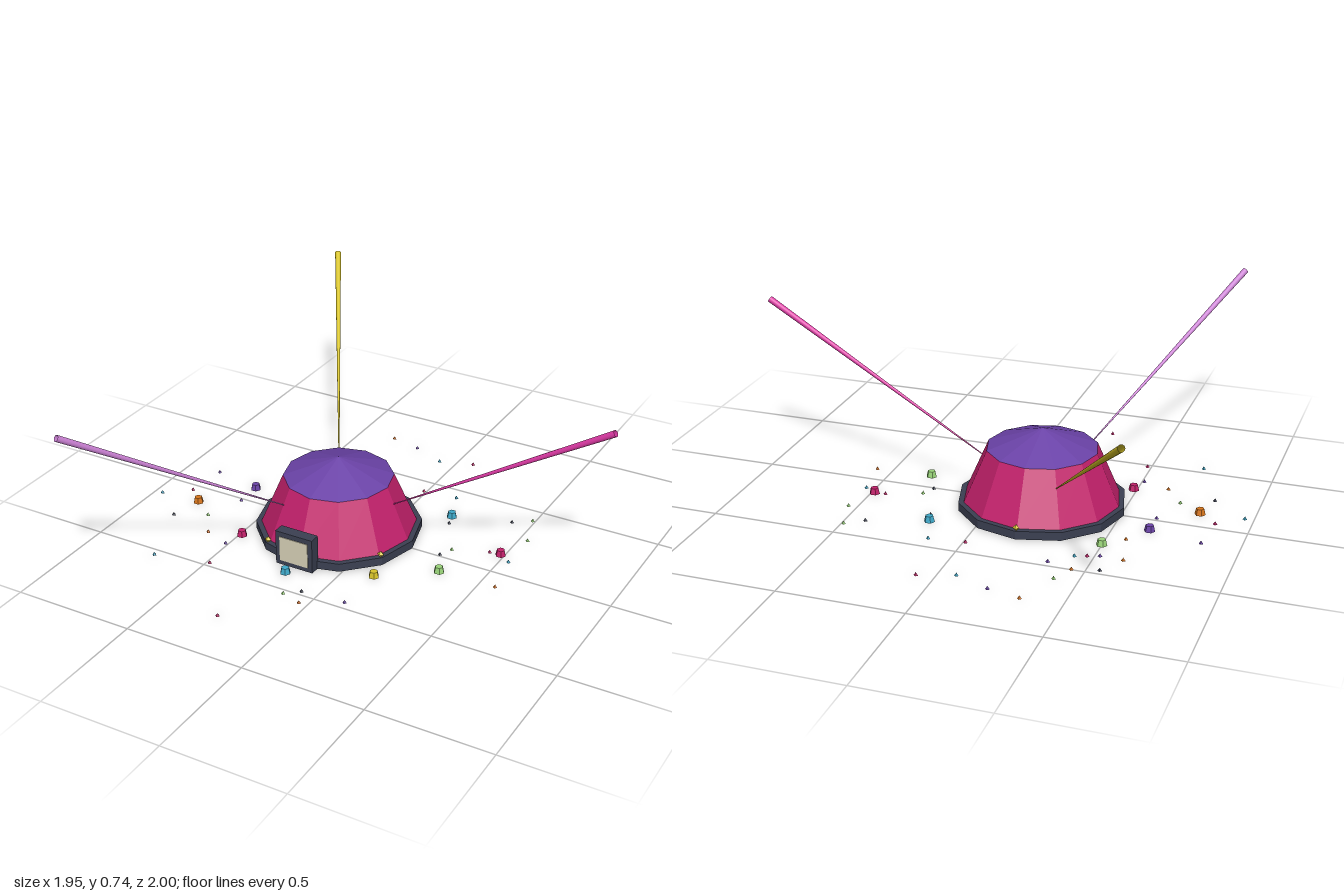
import * as THREE from 'three';

const paint = (name, color, side = THREE.FrontSide) => {
  const m = new THREE.MeshStandardMaterial({ color, side });
  m.name = name;
  return m;
};

// Faceted version of a geometry
const facet = (geometry) => {
  const g = geometry.index ? geometry.toNonIndexed() : geometry;
  g.computeVertexNormals();
  return g;
};

export function createModel() {
  const mats = {
    crimson: paint('crimson', 0xc4216c),
    violet: paint('violet', 0x6b43a8),
    slate: paint('slate', 0x3b4052),
    cream: paint('cream', 0xd9d3b8),
    magenta: paint('magenta', 0xdc3aa4, THREE.DoubleSide),
    yellow: paint('yellow', 0xd8c428, THREE.DoubleSide),
    orchid: paint('orchid', 0xc980d2, THREE.DoubleSide),
    green: paint('green', 0x9ad47a),
    cyan: paint('cyan', 0x3fa9c9),
    orange: paint('orange', 0xd8761c),
  };
  const model = new THREE.Group();
  model.name = 'domeTent';
  const add = (parent, name, geometry, mat, x = 0, y = 0, z = 0) => {
    const mesh = new THREE.Mesh(geometry, mats[mat]);
    mesh.name = name;
    mesh.position.set(x, y, z);
    parent.add(mesh);
    return mesh;
  };

  // Twelve-sided pavilion
  const tent = new THREE.Group();
  tent.name = 'tent';
  tent.position.x = -0.178;
  model.add(tent);
  add(tent, 'baseRing', facet(new THREE.CylinderGeometry(0.335, 0.335, 0.034, 12)), 'slate', 0, 0.018, 0);
  add(tent, 'floor', facet(new THREE.CylinderGeometry(0.31, 0.31, 0.004, 12)), 'violet', 0, 0.002, 0);
  add(tent, 'wall', facet(new THREE.CylinderGeometry(0.222, 0.313, 0.211, 12, 1, true)), 'crimson', 0, 0.1405, 0);
  add(tent, 'roof', facet(new THREE.ConeGeometry(0.222, 0.08, 12)), 'violet', 0, 0.286, 0);

  // Doorway
  add(tent, 'doorFrame', new THREE.BoxGeometry(0.164, 0.146, 0.046), 'slate', 0, 0.073, 0.327);
  add(tent, 'doorPanel', new THREE.BoxGeometry(0.126, 0.106, 0.004), 'cream', 0, 0.072, 0.351);

  // Smooth, open light beams widening outwards from the wall
  ['magenta', 'orchid', 'yellow'].forEach((mat, i) => {
    const a = (i * Math.PI * 2) / 3;
    const start = new THREE.Vector3(0.25 * Math.cos(a), 0.18, 0.25 * Math.sin(a));
    const end = new THREE.Vector3(1.147 * Math.cos(a), 0.727, 1.147 * Math.sin(a));
    const dir = end.clone().sub(start);
    const beam = add(tent, 'beam', new THREE.CylinderGeometry(0.013, 0.002, dir.length(), 16, 1, true), mat);
    beam.position.copy(start).lerp(end, 0.5);
    beam.quaternion.setFromUnitVectors(new THREE.Vector3(0, 1, 0), dir.normalize());
  });

  // Small bulbs on the base ring
  for (const deg of [30, 120, 270]) {
    const a = THREE.MathUtils.degToRad(deg);
    add(tent, 'bulb', new THREE.OctahedronGeometry(0.014), 'yellow', 0.324 * Math.cos(a), 0.045, 0.324 * Math.sin(a));
  }

  // Ground lanterns: squat six-sided pods
  const lantern = facet(new THREE.CylinderGeometry(0.016, 0.022, 0.025, 6).rotateY(Math.PI / 6));
  [
    ['green', -0.5, -0.272], ['cyan', 0.185, -0.292], ['violet', -0.64, -0.097],
    ['crimson', 0.485, -0.124], ['orange', -0.79, 0.11], ['green', 0.328, 0.102],
    ['crimson', -0.488, 0.244], ['yellow', 0.123, 0.254], ['cyan', -0.19, 0.396],
  ].forEach(([mat, x, z]) => add(model, 'lantern', lantern, mat, x, 0.0125, z));

  // Scattered confetti
  const chip = facet(new THREE.ConeGeometry(0.009, 0.013, 4));
  const colours = ['orange', 'violet', 'crimson', 'cyan', 'green', 'slate'];
  [
    [-0.34, -0.77], [-0.21, -0.74], [0.07, -0.725], [-0.07, -0.68], [-0.41, -0.59],
    [-0.55, -0.475], [-0.45, -0.5], [-0.35, -0.47], [-0.01, -0.42], [0.135, -0.435],
    [0.49, -0.42], [0.42, -0.37], [-0.61, -0.37], [-0.52, -0.365], [-0.475, -0.38],
    [-0.43, -0.395], [0.535, -0.27], [0.2, -0.24], [-0.575, -0.2], [-0.85, -0.14],
    [0.44, -0.12], [0.535, -0.09], [0.3, -0.065], [0.275, -0.01], [0.565, 0.095],
    [-0.64, 0.015], [-0.865, 0.04], [-0.965, 0.12], [-0.695, 0.18], [-0.82, 0.245],
    [-0.62, 0.29], [-0.51, 0.33], [-0.485, 0.48], [-0.71, 0.535], [-0.12, 0.525],
    [-0.065, 0.48], [-0.035, 0.55], [0.115, 0.465], [-0.255, 0.77],
  ].forEach(([x, z], i) => add(model, 'confetti', chip, colours[i % colours.length], x, 0.0065, z));

  return model;
}
